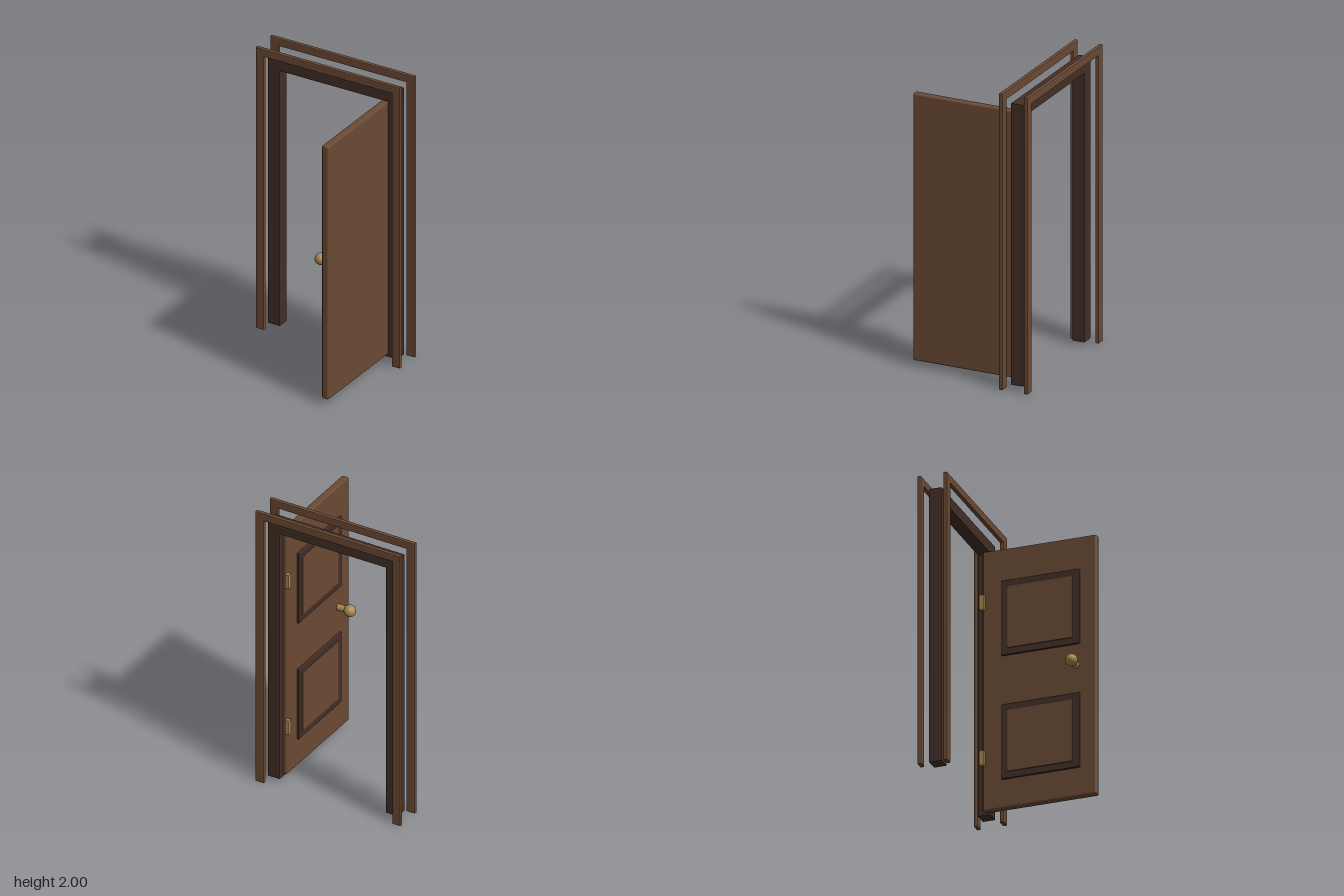
import * as THREE from 'three';
import { RoundedBoxGeometry } from 'three/addons/geometries/RoundedBoxGeometry.js';

const wood = new THREE.MeshStandardMaterial({ color: 0x6b4a34 });
const darkWood = new THREE.MeshStandardMaterial({ color: 0x432f27 });
const brass = new THREE.MeshStandardMaterial({ color: 0xa88850 });

function add(parent, name, geometry, material, x = 0, y = 0, z = 0) {
  const mesh = new THREE.Mesh(geometry, material);
  mesh.name = name;
  mesh.position.set(x, y, z);
  parent.add(mesh);
  return mesh;
}

// Box given by its minimum and maximum corners, with softened edges
function block(parent, name, material, min, max, radius) {
  const s = max.map((v, i) => v - min[i]);
  const c = max.map((v, i) => (v + min[i]) / 2);
  return add(parent, name, new RoundedBoxGeometry(...s, 2, radius), material, ...c);
}

// Upside-down U frame, open at the floor, with bevelled edges
function archFrame(outer, inner, bottom, under, top, depth, bevel) {
  const shape = new THREE.Shape([
    [-outer, bottom], [-inner, bottom], [-inner, under], [inner, under],
    [inner, bottom], [outer, bottom], [outer, top], [-outer, top],
  ].map(([x, y]) => new THREE.Vector2(x, y)));
  return new THREE.ExtrudeGeometry(shape, {
    depth: depth - 2 * bevel, bevelEnabled: true, bevelSize: bevel,
    bevelThickness: bevel, bevelOffset: -bevel, bevelSegments: 2,
  }).translate(0, 0, bevel - depth / 2);
}

export function createModel() {
  const model = new THREE.Group();
  model.name = 'openDoor';

  // Jamb and the two casings standing off it
  add(model, 'jamb', archFrame(0.477, 0.39, 0.025, 1.842, 1.925, 0.087, 0.005), darkWood, 0, 0, -0.335);
  const casing = archFrame(0.532, 0.472, 0, 1.945, 2, 0.028, 0.006);
  add(model, 'frontCasing', casing, wood, 0, 0, -0.248);
  add(model, 'backCasing', casing, wood, 0, 0, -0.424);

  // Door leaf, swung open by a right angle
  const door = new THREE.Group();
  door.name = 'door';
  model.add(door);
  block(door, 'doorLeaf', wood, [0.362, 0.043, -0.335], [0.412, 1.845, 0.433], 0.012);

  // Raised panels on dark mouldings
  for (const y of [0.5, 1.36]) {
    block(door, 'panelMoulding', darkWood, [0.35, y - 0.26, -0.207], [0.366, y + 0.26, 0.321], 0.005);
    block(door, 'raisedPanel', wood, [0.346, y - 0.215, -0.165], [0.36, y + 0.215, 0.275], 0.004);
  }

  // Hinges
  for (const y of [0.405, 1.487]) {
    block(door, 'hinge', brass, [0.339, y - 0.052, -0.352], [0.365, y + 0.052, -0.32], 0.003);
  }

  // Knob on its stem
  const knob = new THREE.Group();
  knob.name = 'doorKnob';
  knob.position.set(0.275, 0.953, 0.297);
  door.add(knob);
  add(knob, 'knobStem', new THREE.CylinderGeometry(0.022, 0.022, 0.08, 16), brass, 0.05).rotation.z = Math.PI / 2;
  add(knob, 'knobBall', new THREE.SphereGeometry(0.04, 20, 14), brass);
  return model;
}
